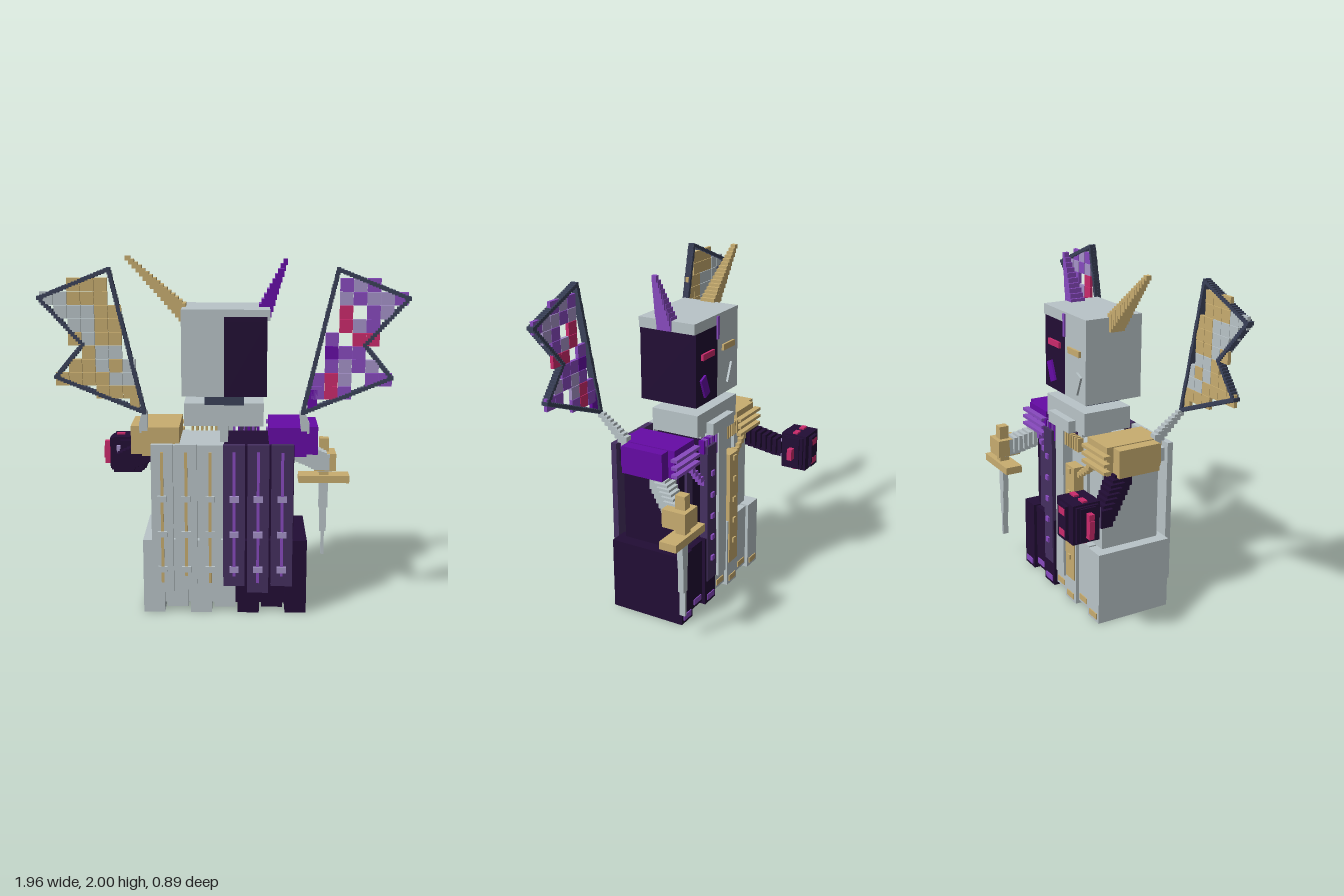
import * as THREE from 'three';

const mat = (name, color) => {
  const m = new THREE.MeshStandardMaterial({ color });
  m.name = name;
  return m;
};

export function createModel() {
  const grey = mat('pale grey', 0xb9c4c8), dark = mat('dark violet', 0x220d35);
  const gold = mat('gold', 0xc8ad70), deep = mat('deep purple', 0x660ba6);
  const purple = mat('purple', 0x884abf), lavender = mat('lavender', 0xa693c9);
  const plum = mat('plum', 0x453060), slate = mat('slate', 0x3a4159);
  const crimson = mat('crimson', 0xcc2a6c);

  const root = new THREE.Group();
  const group = (name) => {
    const g = new THREE.Group();
    g.name = name;
    root.add(g);
    return g;
  };
  // box from its min and max on each axis
  const box = (parent, name, m, x0, x1, y0, y1, z0, z1) => {
    const b = new THREE.Mesh(new THREE.BoxGeometry(x1 - x0, y1 - y0, z1 - z0), m);
    b.position.set((x0 + x1) / 2, (y0 + y1) / 2, (z0 + z1) / 2);
    b.name = name;
    parent.add(b);
    return b;
  };
  // box from centre and size
  const block = (parent, name, m, [x, y, z], [w, h, d]) =>
    box(parent, name, m, x - w / 2, x + w / 2, y - h / 2, y + h / 2, z - d / 2, z + d / 2);
  // stepped chain of blocks along a line, tapering from size s0 to s1
  const chain = (parent, name, m, a, b, s0, s1, n) => {
    for (let i = 0; i < n; i++) {
      const t = i / (n - 1), mix = (p, q) => p.map((v, k) => v + (q[k] - v) * t);
      block(parent, name, m, mix(a, b), mix(s0, s1));
    }
  };

  // head, split into a pale and a dark half
  const head = group('head');
  box(head, 'paleHalf', grey, -0.235, 0, 1.24, 1.67, -0.095, 0.26);
  box(head, 'darkHalf', dark, 0, 0.235, 1.24, 1.66, -0.095, 0.262);
  box(head, 'headTop', grey, -0.235, 0.25, 1.66, 1.72, -0.095, 0.26);
  box(head, 'topEdge', dark, 0, 0.235, 1.655, 1.68, 0.255, 0.263);
  box(head, 'browRidge', purple, -0.008, 0.012, 1.58, 1.71, -0.105, -0.09);
  box(head, 'leftEye', crimson, 0.05, 0.18, 1.5, 1.535, -0.108, -0.094);
  box(head, 'rightEye', gold, -0.18, -0.05, 1.5, 1.535, -0.108, -0.094);
  for (const [s, m] of [[1, deep], [-1, grey]]) {
    const c = block(head, 'cheekMark', m, [s * 0.15, 1.345, -0.098], [0.055, 0.12, 0.02]);
    c.rotation.z = s * -0.4;
  }

  // stepped horns
  const horns = group('horns');
  chain(horns, 'rightHorn', gold, [-0.235, 1.69, 0.095], [-0.535, 1.985, 0.095], [0.04, 0.1, 0.09], [0.03, 0.025, 0.03], 16);
  const hornFaces = [purple, purple, purple, purple, deep, purple];
  chain(horns, 'leftHorn', hornFaces, [0.225, 1.7, 0.095], [0.335, 1.965, 0.095], [0.07, 0.075, 0.09], [0.025, 0.035, 0.03], 10);

  // neck, collar and spine
  const neck = group('neckAndCollar');
  box(neck, 'neck', slate, -0.11, 0.11, 1.18, 1.25, -0.02, 0.2);
  box(neck, 'collar', grey, -0.225, 0.22, 1.06, 1.19, -0.095, 0.2);
  box(neck, 'collarFront', grey, -0.12, 0.12, 1.05, 1.12, -0.14, -0.09);
  box(neck, 'spine', grey, -0.025, 0.02, 0.95, 1.08, 0, 0.2);
  for (let i = 0; i < 6; i++) {
    const x = -0.2 + i * 0.028;
    box(neck, 'goldFringe', gold, x, x + 0.014, 0.96, 1.04, -0.125, -0.09);
    box(neck, 'purpleFringe', i % 2 ? purple : deep, -x - 0.014, -x, 0.96 - 0.02 * (i % 3), 1.04, -0.125, -0.09);
  }

  // torso
  const torso = group('torso');
  box(torso, 'paleTorso', grey, -0.39, 0, 0.2, 0.97, -0.075, 0.29);
  box(torso, 'darkTorso', dark, 0, 0.39, 0.2, 0.97, -0.075, 0.29);
  box(torso, 'chestPlate', grey, -0.25, -0.21, 0.4, 0.97, -0.095, -0.07);
  box(torso, 'chestPanel', plum, 0.27, 0.33, 0.43, 0.93, -0.09, -0.07);

  // hanging panels on the chest side
  box(torso, 'plumPanel', plum, 0.085, 0.185, 0.15, 1.0, -0.14, -0.09);
  box(torso, 'palePanel', grey, -0.045, 0.045, 0.12, 1.05, -0.135, -0.07);
  box(torso, 'goldPanel', gold, -0.18, -0.08, 0.15, 0.86, -0.14, -0.07);
  for (let i = 0; i < 5; i++) {
    const y = 0.29 + i * 0.135;
    box(torso, 'purpleStud', purple, 0.12, 0.15, y - 0.015, y + 0.015, -0.152, -0.135);
    box(torso, 'goldStud', gold, -0.145, -0.115, y - 0.015, y + 0.015, -0.15, -0.135);
  }
  chain(torso, 'purpleCord', purple, [0.3, 0.9, -0.1], [0.18, 0.78, -0.1], [0.03, 0.03, 0.04], [0.03, 0.03, 0.04], 5);
  chain(torso, 'goldCord', gold, [-0.3, 0.9, -0.1], [-0.19, 0.82, -0.1], [0.03, 0.03, 0.04], [0.03, 0.03, 0.04], 5);

  // skirt of seven slabs with hem plates
  const skirt = group('skirt');
  for (let i = 0; i < 7; i++) {
    const x = -0.455 + i * 0.1335, y = i % 2 ? 0.03 : 0, pale = i < 4, inset = i % 2 ? 0.012 : 0;
    box(skirt, 'skirtSlab', pale ? grey : dark, x, x + 0.12, y, 0.43, -0.132 + inset, 0.33 - inset);
    box(skirt, 'hemPlate', pale ? gold : purple, x + 0.02, x + 0.1, y + 0.02, y + 0.055, -0.138 + inset, -0.13 + inset);
  }
  box(skirt, 'paleUnderskirt', grey, -0.44, 0.06, 0.05, 0.42, -0.1, 0.3);
  box(skirt, 'darkUnderskirt', dark, 0.06, 0.45, 0.05, 0.42, -0.1, 0.3);

  // cape of six panels with rods and clips
  const cape = group('cape');
  for (let i = 0; i < 6; i++) {
    const x = -0.4 + i * 0.1325, y = i % 2 ? 0.18 : 0.14, c = x + 0.06, pale = i < 3;
    box(cape, 'capePanel', pale ? grey : plum, x, x + 0.12, y, 0.995, 0.345, 0.38);
    box(cape, 'capeRod', pale ? gold : purple, c - 0.008, c + 0.008, i % 2 ? 0.24 : 0.2, 0.955, 0.375, 0.388);
    for (const k of [0.28, 0.485, 0.69])
      box(cape, 'capeClip', pale ? grey : lavender, c - 0.026, c + 0.026, k - 0.017, k + 0.017, 0.375, 0.395);
    box(cape, 'capeHanger', pale ? grey : dark, c - 0.03, c + 0.03, 0.88, 0.96, 0.28, 0.35);
  }

  // shoulders with fringes
  const shoulders = group('shoulders');
  for (const [s, m, trim] of [[1, deep, purple], [-1, gold, gold]]) {
    const span = (name, mm, a, b, ...r) => box(shoulders, name, mm, Math.min(s * a, s * b), Math.max(s * a, s * b), ...r);
    span('shoulder', m, 0.25, 0.46, 0.9, 1.065, -0.09, 0.26);
    span('shoulderCap', m, 0.45, 0.525, 0.9, 1.06, -0.05, 0.21);
    for (const y of [0.92, 0.965, 1.01])
      span('shoulderFringe', trim, 0.24, 0.49, y, y + 0.018, -0.125, -0.085);
  }

  // left arm holding a sword
  const sword = group('leftArmAndSword');
  chain(sword, 'leftArm', grey, [0.44, 0.87, 0.01], [0.595, 0.75, -0.19], [0.1, 0.09, 0.09], [0.09, 0.1, 0.07], 9);
  box(sword, 'hand', gold, 0.53, 0.66, 0.71, 0.815, -0.275, -0.13);
  box(sword, 'handle', gold, 0.565, 0.62, 0.66, 0.895, -0.25, -0.19);
  box(sword, 'guard', gold, 0.44, 0.745, 0.625, 0.67, -0.27, -0.165);
  [[0.027, 0.46, 0.63], [0.02, 0.31, 0.46], [0.009, 0.16, 0.31]].forEach(([w, y0, y1]) =>
    box(sword, 'blade', grey, 0.593 - w, 0.593 + w, y0, y1, -0.235, -0.2));

  // right arm holding a stepped orb
  const orb = group('rightArmAndOrb');
  chain(orb, 'rightArm', dark, [-0.43, 0.88, 0.01], [-0.61, 0.75, -0.2], [0.1, 0.1, 0.1], [0.09, 0.1, 0.07], 9);
  const c = [-0.6, 0.77, -0.345];
  for (const size of [[0.22, 0.19, 0.09], [0.17, 0.22, 0.16], [0.08, 0.19, 0.2], [0.2, 0.2, 0.13]])
    block(orb, 'orb', dark, c, size);
  block(orb, 'orbSideBand', crimson, [-0.6, 0.77, -0.345], [0.3, 0.07, 0.03]);
  block(orb, 'orbSidePlate', crimson, [-0.715, 0.77, -0.345], [0.06, 0.14, 0.03]);
  for (const s of [-1, 1]) {
    block(orb, 'orbTopPlate', crimson, [-0.6 + s * 0.045, 0.77, -0.345], [0.05, 0.24, 0.03]);
    block(orb, 'orbFacePlate', crimson, [-0.6, 0.77 + s * 0.06, -0.44], [0.06, 0.04, 0.012]);
    block(orb, 'orbRing', lavender, [-0.6, 0.77 + s * 0.05, -0.258], [0.13, 0.018, 0.02]);
  }
  block(orb, 'orbRing', lavender, [-0.655, 0.77, -0.258], [0.018, 0.1, 0.02]);

  // wings: coloured tiles in a bead frame, on stepped struts
  const outline = [[0.425, 1.19], [0.6, 1.95], [0.97, 1.8], [0.745, 1.555], [0.89, 1.38]];
  const inside = (x, y) => {
    let r = false;
    outline.forEach(([ax, ay], i) => {
      const [bx, by] = outline[(i + 4) % 5];
      if ((ay > y) !== (by > y) && x < ((bx - ax) * (y - ay)) / (by - ay) + ax) r = !r;
    });
    return r;
  };
  const key = { g: grey, o: gold, p: purple, l: lavender, c: crimson, d: deep };
  // tile rows from the top, columns from the inner edge outward; a dot is a gap
  const tiles = {
    1: ['..plpp.', '..lpllp', '..c.pll', '..clpll', '.p.cc..', '.dppc..', '.plplc.', 'pcl.pp.', 'pcpl...'],
    '-1': ['..ooogg', '..ooogg', '.oogggg', '.oogg..', '.oogo..', '.ggoo..', 'gogooo.', 'ggoooo.', 'oooog..'],
  };
  const step = 0.0715;
  for (const s of [1, -1]) {
    const wing = group(s > 0 ? 'leftWing' : 'rightWing');
    tiles[s].forEach((row, r) => [...row].forEach((ch, k) => {
      const x = 0.465 + (k - 0.5 + 0.5) * step, y = 1.87 - r * step;
      const cx = x + step / 2, hits = [-0.3, 0, 0.3].some((d) => inside(cx + d * step, y));
      if (key[ch] && hits && inside(cx, y + (inside(cx, y) ? 0 : 0.02)))
        block(wing, 'wingTile', key[ch], [s * cx, y, 0.423], [0.069, 0.069, 0.02]);
    }));
    // lowest tile near the wing root
    block(wing, 'wingTile', s > 0 ? deep : gold, [s * 0.475, 1.235 + 0.03, 0.423], [0.05, 0.1, 0.02]);
    outline.forEach(([ax, ay], i) => {
      const [bx, by] = outline[(i + 1) % 5];
      const n = Math.round(Math.hypot(bx - ax, by - ay) / 0.018) + 1;
      chain(wing, 'wingFrame', slate, [s * ax, ay, 0.423], [s * bx, by, 0.423], [0.02, 0.02, 0.04], [0.02, 0.02, 0.04], n);
    });
    chain(wing, 'wingStrut', grey, [s * 0.45, 1.06, 0.23], [s * 0.425, 1.175, 0.4], [0.045, 0.06, 0.04], [0.03, 0.03, 0.04], 8);
  }

  return root;
}
